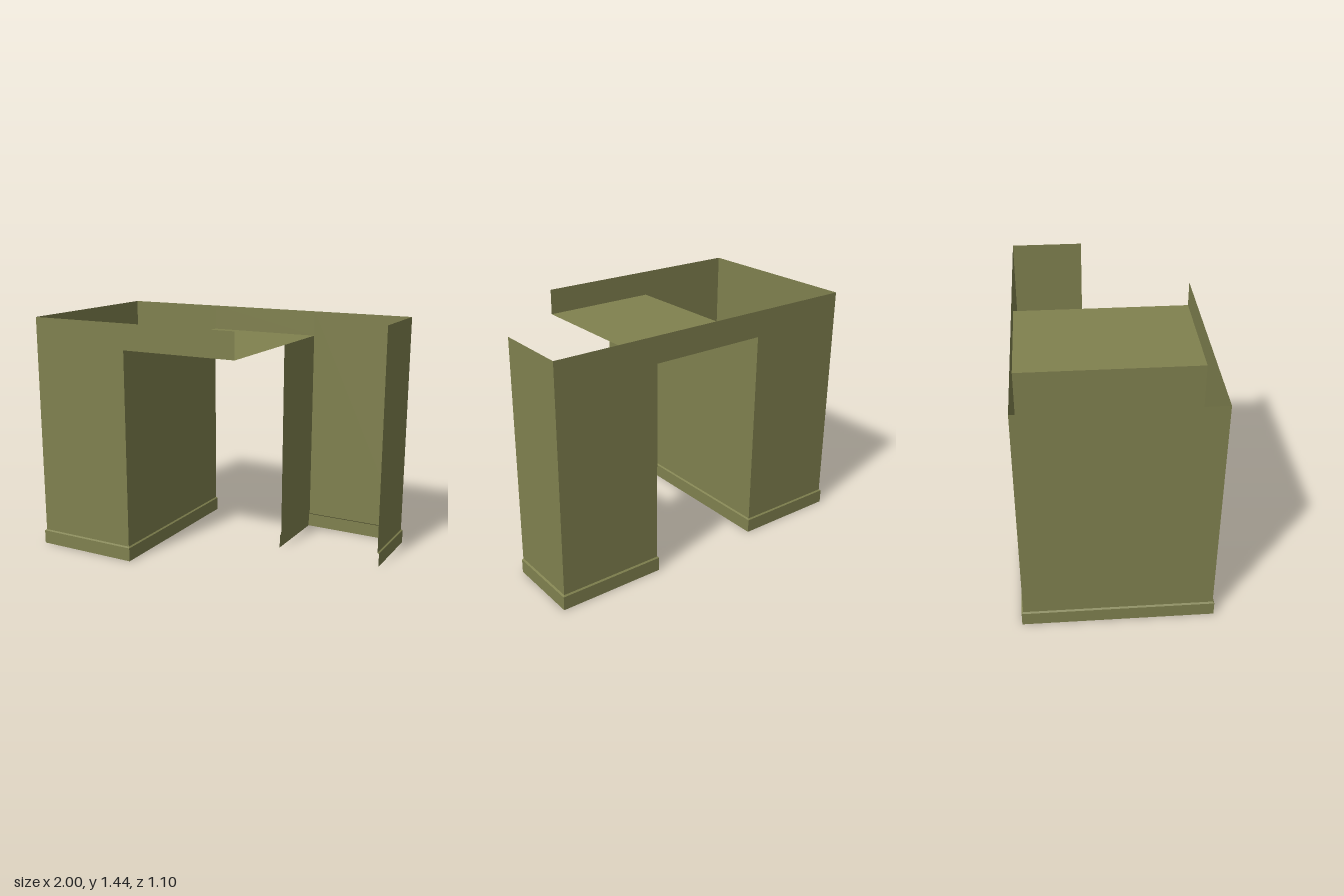
import * as THREE from 'three';

const H = 1.44, SKIRT = 0.09, DOOR = 1.285; // wall top, skirting top, doorway head
const X = 0.99, IN = 0.36, Z = 0.54, CUT = -0.09, LIP = 0.009;

// Flat-shaded sheet stretched between two matching polylines
function strip(lower, upper) {
  const pos = [];
  for (let i = 0; i + 1 < lower.length; i++) {
    const [a, b, c, d] = [lower[i], lower[i + 1], upper[i + 1], upper[i]];
    pos.push(...a, ...b, ...c, ...a, ...c, ...d);
  }
  const g = new THREE.BufferGeometry();
  g.setAttribute('position', new THREE.Float32BufferAttribute(pos, 3));
  g.computeVertexNormals();
  return g;
}

export function createModel() {
  const olive = new THREE.MeshStandardMaterial({ color: 0x80814f, side: THREE.DoubleSide });
  olive.name = 'olive';
  const model = new THREE.Group();
  model.name = 'doorwayFrame';

  const add = (parent, name, lower, upper) => {
    const mesh = new THREE.Mesh(strip(lower, upper), olive);
    mesh.name = name;
    parent.add(mesh);
  };

  // Hollow pier: upright walls over a slightly wider skirting with a bevelled top
  const pier = (name, plan) => {
    const group = new THREE.Group();
    group.name = name;
    model.add(group);
    const mid = Math.sign(plan[0][0]) * (X + IN) / 2;
    const ring = (y, out) => plan.map(([x, z]) => [
      x + Math.sign(x - mid) * out,
      y,
      z === CUT ? z : z + Math.sign(z) * out, // open ends stay flush
    ]);
    add(group, 'walls', ring(SKIRT, 0), ring(H, 0));
    add(group, 'skirtingBevel', ring(SKIRT - 0.007, LIP), ring(SKIRT, 0));
    add(group, 'skirting', ring(0, LIP), ring(SKIRT - 0.007, LIP));
  };

  // Outer walls reach the top; inner doorway walls stop at the ceiling
  const closed = [[-X, Z], [-IN, Z], [-IN, -Z], [-X, -Z], [-X, Z]];
  const open = [[X, CUT], [X, -Z], [IN, -Z], [IN, CUT]];
  pier('rightPier', closed);
  pier('leftPier', open);

  // Trim the doorway side of each pier down to the ceiling height
  model.traverse((o) => {
    if (o.name !== 'walls') return;
    const p = o.geometry.attributes.position;
    for (let i = 0; i < p.count; i += 6) {
      const inner = [0, 1, 2, 3, 4, 5].every((k) => Math.abs(Math.abs(p.getX(i + k)) - IN) < 1e-4);
      if (!inner) continue;
      for (let k = 0; k < 6; k++) if (p.getY(i + k) > 1) p.setY(i + k, DOOR);
    }
  });

  // Lintels and the ceiling of the passage
  add(model, 'frontLintel', [[-IN, DOOR, Z], [IN, DOOR, Z]], [[-IN, H, Z], [IN, H, Z]]);
  add(model, 'backLintel', [[IN, DOOR, -Z], [-IN, DOOR, -Z]], [[IN, H, -Z], [-IN, H, -Z]]);
  add(model, 'ceiling', [[-IN, DOOR, Z], [IN, DOOR, Z]], [[-IN, DOOR, -Z], [IN, DOOR, -Z]]);

  return model;
}
